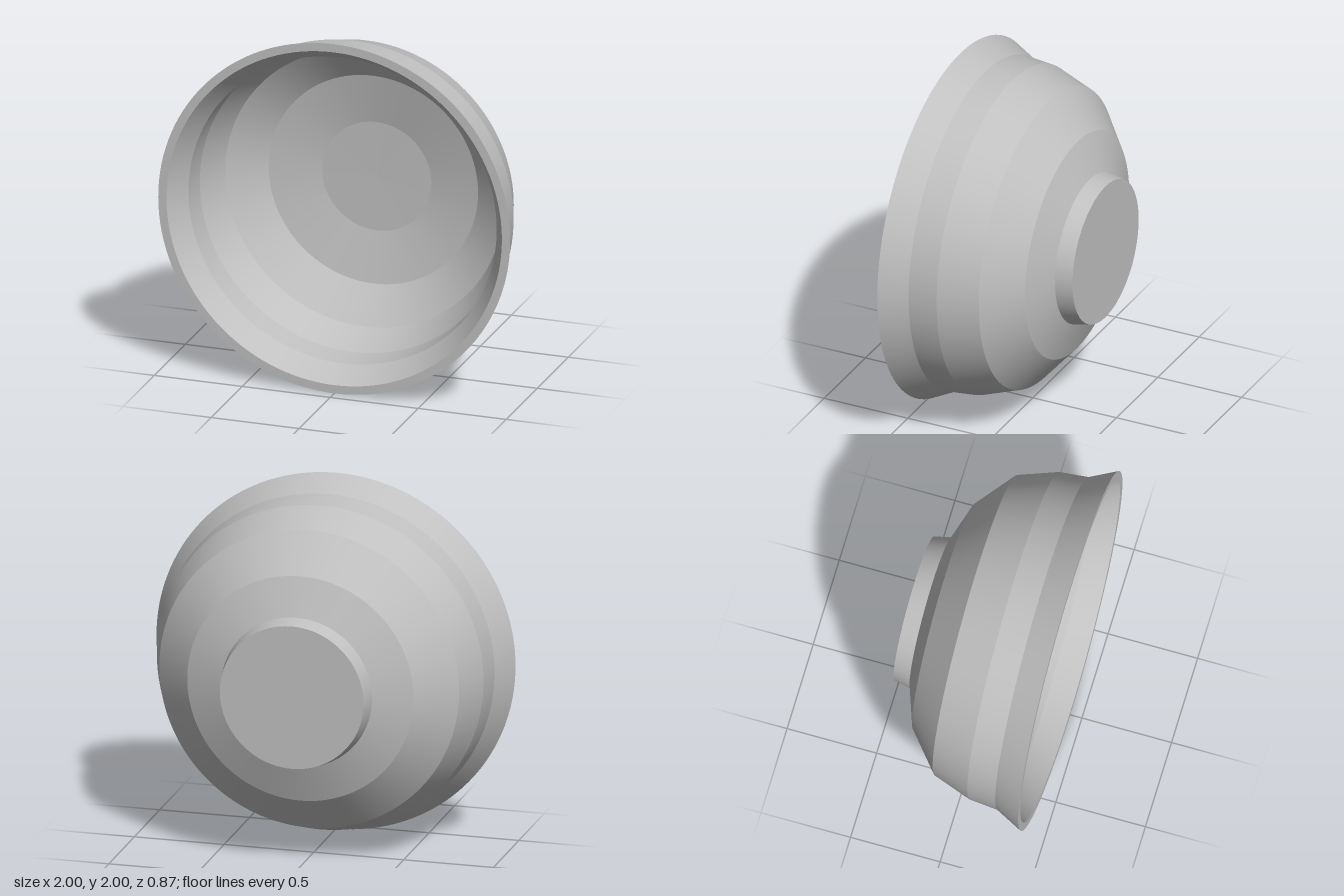
import * as THREE from 'three';
import { mergeGeometries } from 'three/addons/utils/BufferGeometryUtils.js';

const SEGMENTS = 128;

// Revolve a [radius, z] profile about the z axis: smooth around, crisp edge between bands.
function bands(profile) {
  const parts = [];
  for (let i = 0; i < profile.length - 1; i++) {
    const pair = [profile[i], profile[i + 1]].map(([r, z]) => new THREE.Vector2(r, z));
    parts.push(new THREE.LatheGeometry(pair, SEGMENTS));
  }
  return mergeGeometries(parts).rotateX(Math.PI / 2);
}

export function createModel() {
  const group = new THREE.Group();
  group.name = 'bowl';
  const clay = new THREE.MeshStandardMaterial({ color: 0xc0c0c0 });
  clay.name = 'grey clay';

  // Profiles run from the foot, up the outside, over the rim and down the inside
  const profiles = {
    foot: [[0, -0.435], [0.4, -0.435], [0.42, -0.34]],
    outerWall: [
      [0.42, -0.34], [0.63, -0.265], [0.835, -0.09],
      [0.91, 0.125], [0.925, 0.285], [1, 0.435],
    ],
    rim: [[1, 0.435], [0.953, 0.435]],
    innerWall: [
      [0.953, 0.435], [0.876, 0.3], [0.866, 0.145],
      [0.79, -0.05], [0.595, -0.195], [0.31, -0.25],
    ],
    innerFloor: [[0.31, -0.25], [0, -0.255]],
  };

  for (const [name, profile] of Object.entries(profiles)) {
    const mesh = new THREE.Mesh(bands(profile), clay);
    mesh.name = name;
    mesh.position.y = 1;
    group.add(mesh);
  }
  return group;
}
